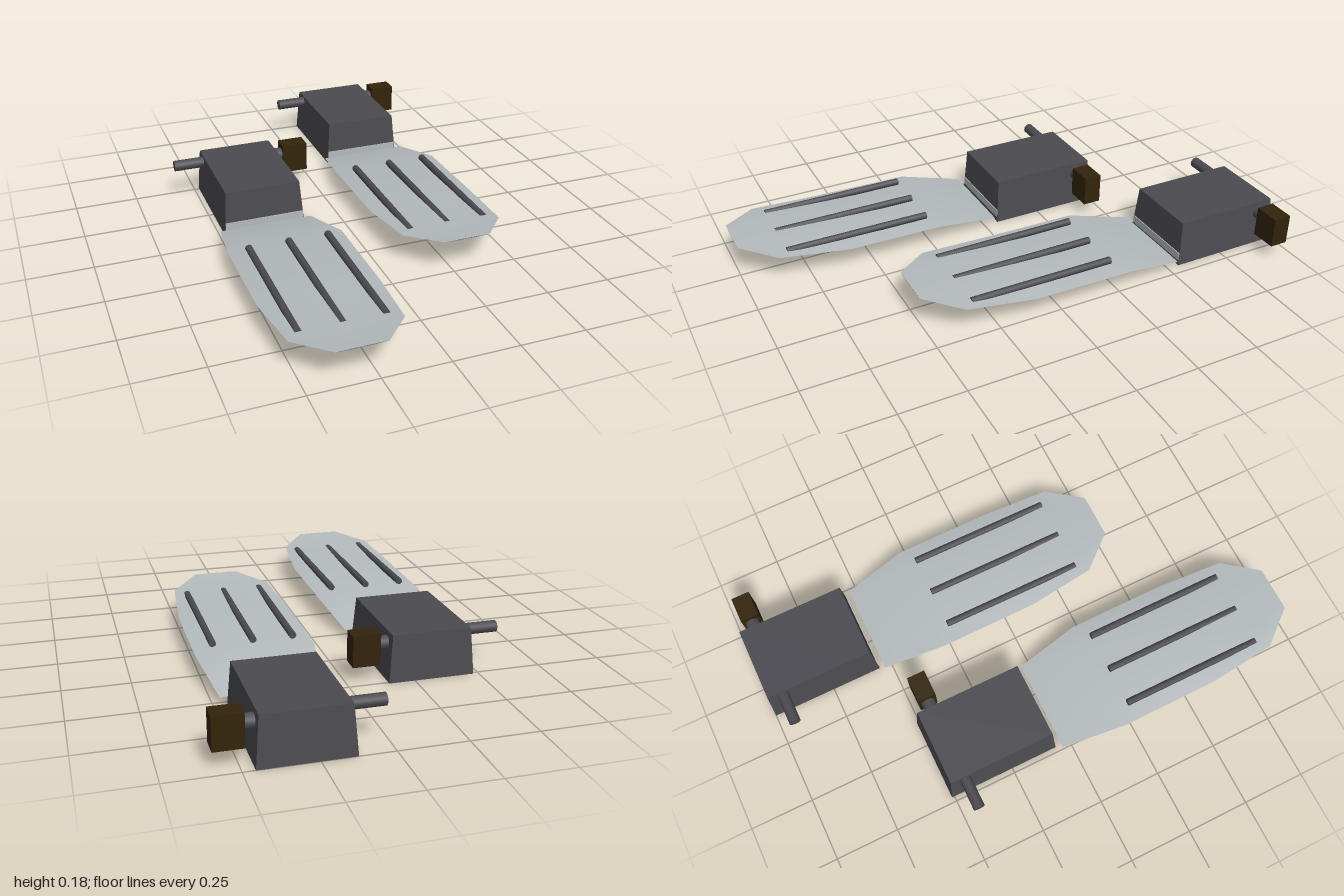
import * as THREE from 'three';

const mat = (name, color) => {
  const m = new THREE.MeshStandardMaterial({ color });
  m.name = name;
  return m;
};

// Thin lens-shaped blade lofted from closed cross-sections
function bladeGeometry() {
  // z, half width, rim y, top centre y, bottom centre y
  const rows = [
    [-0.04, 0.185, 0.034, 0.036, 0.032],
    [0.21, 0.225, 0.09, 0.096, 0.035],
    [0.6, 0.225, 0.095, 0.115, 0.084],
    [0.87, 0.2, 0.12, 0.124, 0.116],
    [1.0, 0.09, 0.139, 0.14, 0.137],
  ];
  const across = [-1, -0.6, 0, 0.6, 1];
  const pos = [], index = [];
  const n = across.length;
  for (const side of [1, -1]) {
    const base = pos.length / 3;
    for (const [z, w, rim, top, bottom] of rows) {
      for (const u of across) {
        const mid = side > 0 ? top : bottom;
        const y = Math.abs(u) === 1 ? rim : u === 0 ? mid : mid + (rim - mid) * 0.12;
        pos.push(u * w, y, z);
      }
    }
    for (let r = 0; r < rows.length - 1; r++) {
      for (let i = 0; i < n - 1; i++) {
        const a = base + r * n + i, b = a + 1, c = a + n, d = c + 1;
        if (side > 0) index.push(a, c, b, b, c, d);
        else index.push(a, b, c, b, d, c);
      }
    }
  }
  // Close the two thin ends
  const half = rows.length * n;
  for (let i = 0; i < n - 1; i++) {
    const f = (rows.length - 1) * n + i;
    index.push(f, half + f, f + 1, f + 1, half + f, half + f + 1);
    index.push(i, i + 1, half + i, i + 1, half + i + 1, half + i);
  }
  const g = new THREE.BufferGeometry();
  g.setAttribute('position', new THREE.Float32BufferAttribute(pos, 3));
  g.setIndex(index);
  g.computeVertexNormals();
  return g;
}

// Block whose walls lean slightly inward toward the top
function housingGeometry() {
  const g = new THREE.BoxGeometry(0.33, 0.18, 0.45);
  const p = g.attributes.position;
  for (let i = 0; i < p.count; i++) {
    if (p.getY(i) > 0) {
      p.setX(i, p.getX(i) * 0.915);
      p.setZ(i, p.getZ(i) * 0.945);
    }
  }
  g.computeVertexNormals();
  return g;
}

export function createModel() {
  const dark = mat('darkGrey', 0x4b4a50);
  const light = mat('lightGrey', 0xb4bbbd);
  const brown = mat('darkBrown', 0x33240b);
  const model = new THREE.Group();

  const bladeGeo = bladeGeometry();
  const housingGeo = housingGeometry();
  const ribGeo = new THREE.CylinderGeometry(0.014, 0.014, 0.575, 8).rotateX(Math.PI / 2);
  const pegGeo = new THREE.CylinderGeometry(0.022, 0.022, 0.15, 12).rotateZ(Math.PI / 2);
  const stubGeo = new THREE.CylinderGeometry(0.027, 0.027, 0.06, 12).rotateZ(Math.PI / 2);

  const units = [['rightUnit', -0.315, 0], ['leftUnit', 0.292, -0.49]];
  for (const [name, ux, uz] of units) {
    const unit = new THREE.Group();
    unit.name = name;
    unit.position.set(ux, 0, uz);
    model.add(unit);
    const add = (part, geo, material, x, y, z) => {
      const m = new THREE.Mesh(geo, material);
      m.name = part;
      m.position.set(x, y, z);
      unit.add(m);
    };

    add('blade', bladeGeo, light, 0, 0, 0);
    for (const x of [-0.153, 0, 0.153]) add('bladeRib', ribGeo, dark, x, 0.114, 0.5425);

    // Foot housing with a pale strip along the front
    add('housing', housingGeo, dark, 0, 0.09, -0.285);
    add('frontStrip', new THREE.BoxGeometry(0.32, 0.032, 0.006), light, 0, 0.036, -0.063);

    // Side peg on the right, buckle on the left
    add('peg', pegGeo, dark, -0.2, 0.153, -0.44);
    add('buckleStub', stubGeo, dark, 0.165, 0.135, -0.44);
    add('buckle', new THREE.BoxGeometry(0.105, 0.121, 0.072), brown, 0.241, 0.122, -0.44);
  }
  return model;
}
